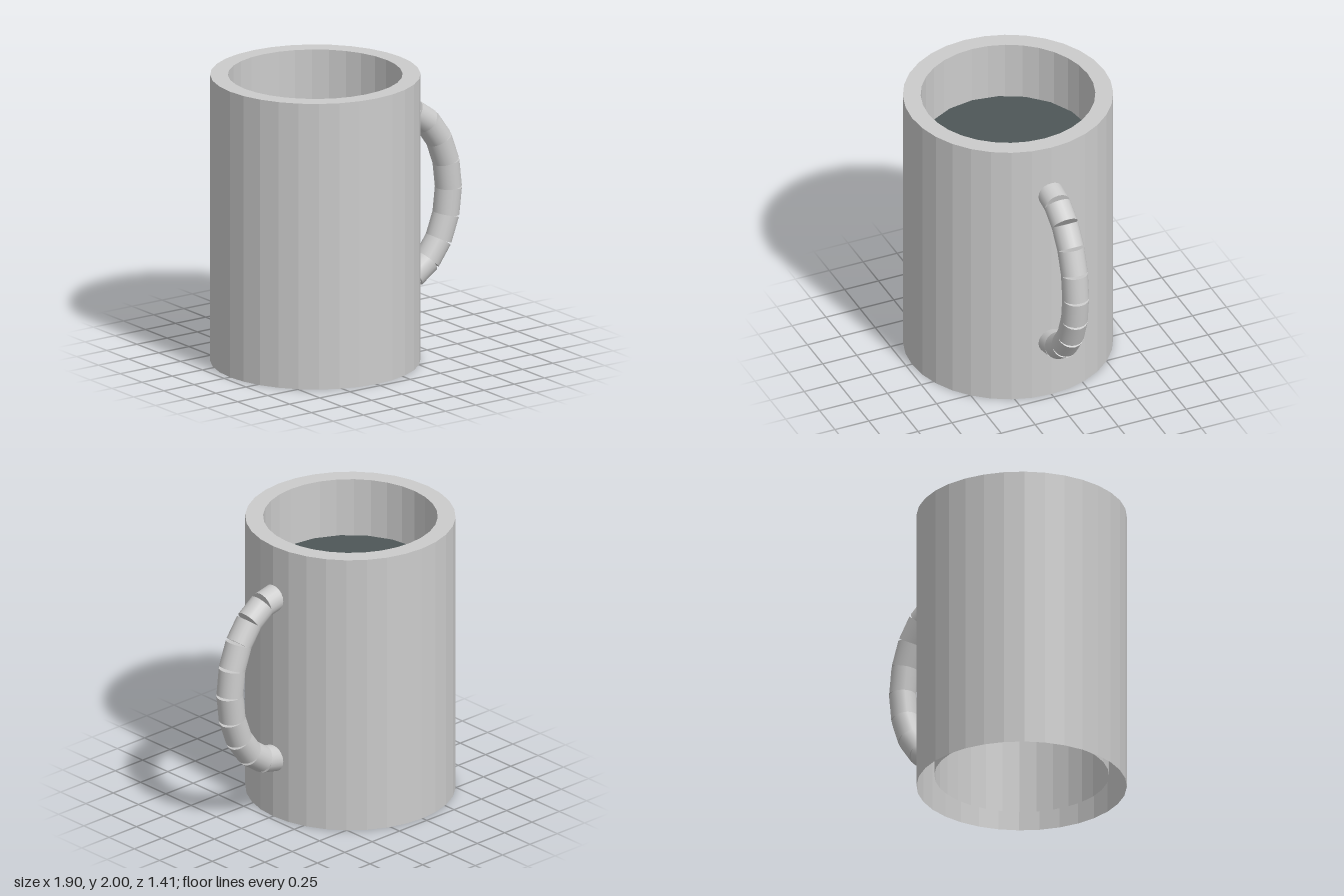
import * as THREE from 'three';

const AXIS_X = -0.245;
const OUTER = 0.707, INNER = 0.587;

export function createModel() {
  const group = new THREE.Group();
  group.name = 'mug';
  const clay = new THREE.MeshStandardMaterial({ color: 0xcccccc, flatShading: true, side: THREE.DoubleSide });
  const glaze = new THREE.MeshStandardMaterial({ color: 0xcccccc });
  const drink = new THREE.MeshStandardMaterial({ color: 0x4e5758, side: THREE.DoubleSide });

  const add = (name, geometry, material, parent = group) => {
    const mesh = new THREE.Mesh(geometry, material);
    mesh.name = name;
    parent.add(mesh);
    return mesh;
  };

  // Body: outer wall, flat rim, and inner wall ending just above the open base
  const profile = [[OUTER, 0], [OUTER, 2], [INNER, 2], [INNER, 0.08]].map(([r, y]) => new THREE.Vector2(r, y));
  add('body', new THREE.LatheGeometry(profile, 32), clay).position.x = AXIS_X;

  // Liquid surface, a flat disc with fewer sides than the wall
  const liquid = add('liquid', new THREE.CircleGeometry(0.58, 20), drink);
  liquid.rotation.x = -Math.PI / 2;
  liquid.position.set(AXIS_X, 1.59, 0);

  // Handle: straight round links along an ellipse, leaving wedge gaps outside
  const handle = new THREE.Group();
  handle.name = 'handle';
  group.add(handle);
  const step = Math.PI / 10;
  const joint = (i) => new THREE.Vector3(0.428 + 0.43 * Math.cos(i * step), 1.025 + 0.6 * Math.sin(i * step), 0);
  const up = new THREE.Vector3(0, 1, 0);
  for (let i = -5; i < 7; i++) {
    const a = joint(i), b = joint(i + 1);
    const along = b.clone().sub(a);
    const link = add('handleLink', new THREE.CylinderGeometry(0.091, 0.091, along.length(), 20), glaze, handle);
    link.position.copy(a).add(b).multiplyScalar(0.5);
    link.quaternion.setFromUnitVectors(up, along.normalize());
  }

  return group;
}
